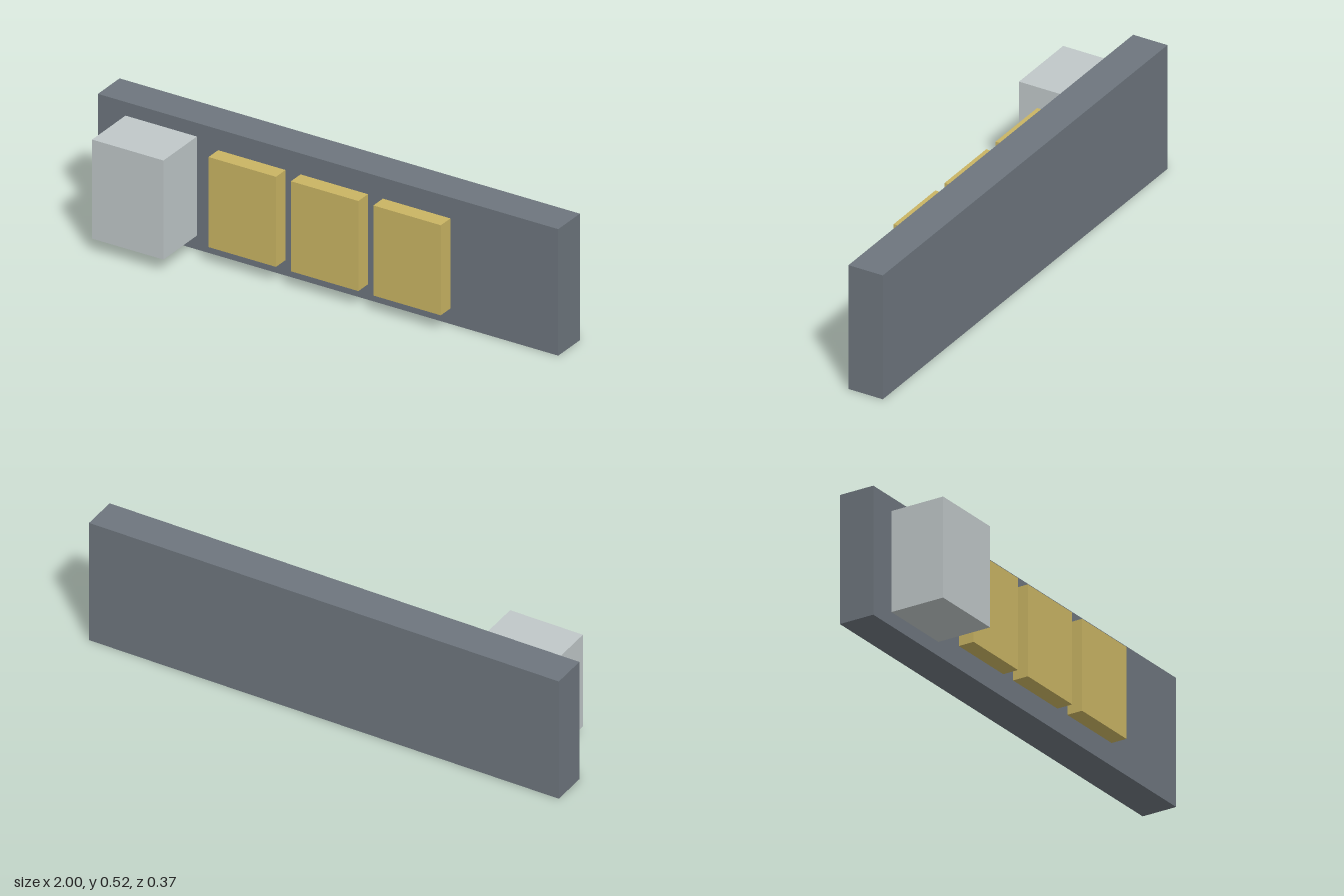
import * as THREE from 'three';

export function createModel() {
  const group = new THREE.Group();
  const flat = (name, color) => {
    const m = new THREE.MeshStandardMaterial({ color });
    m.name = name;
    return m;
  };
  const slate = flat('slate grey', 0x6d757d);
  const silver = flat('pale grey', 0xbfc7c8);
  const brass = flat('brass yellow', 0xc9b463);

  // Box given by its lower and upper corners
  const block = (name, material, [x0, y0, z0], [x1, y1, z1]) => {
    const mesh = new THREE.Mesh(new THREE.BoxGeometry(x1 - x0, y1 - y0, z1 - z0), material);
    mesh.position.set((x0 + x1) / 2, (y0 + y1) / 2, (z0 + z1) / 2);
    mesh.name = name;
    group.add(mesh);
  };

  // Long back panel
  block('backPanel', slate, [-1, 0, -0.187], [1, 0.521, -0.04]);

  // Projecting box on the model's right
  block('housing', silver, [-0.88, 0.057, -0.04], [-0.57, 0.465, 0.187]);

  // Row of three plates standing just clear of the panel
  for (let i = 0; i < 3; i++) {
    const x = -0.465 + i * 0.358;
    block(`plate${i + 1}`, brass, [x, 0.076, -0.02], [x + 0.293, 0.447, 0.045]);
  }
  return group;
}
